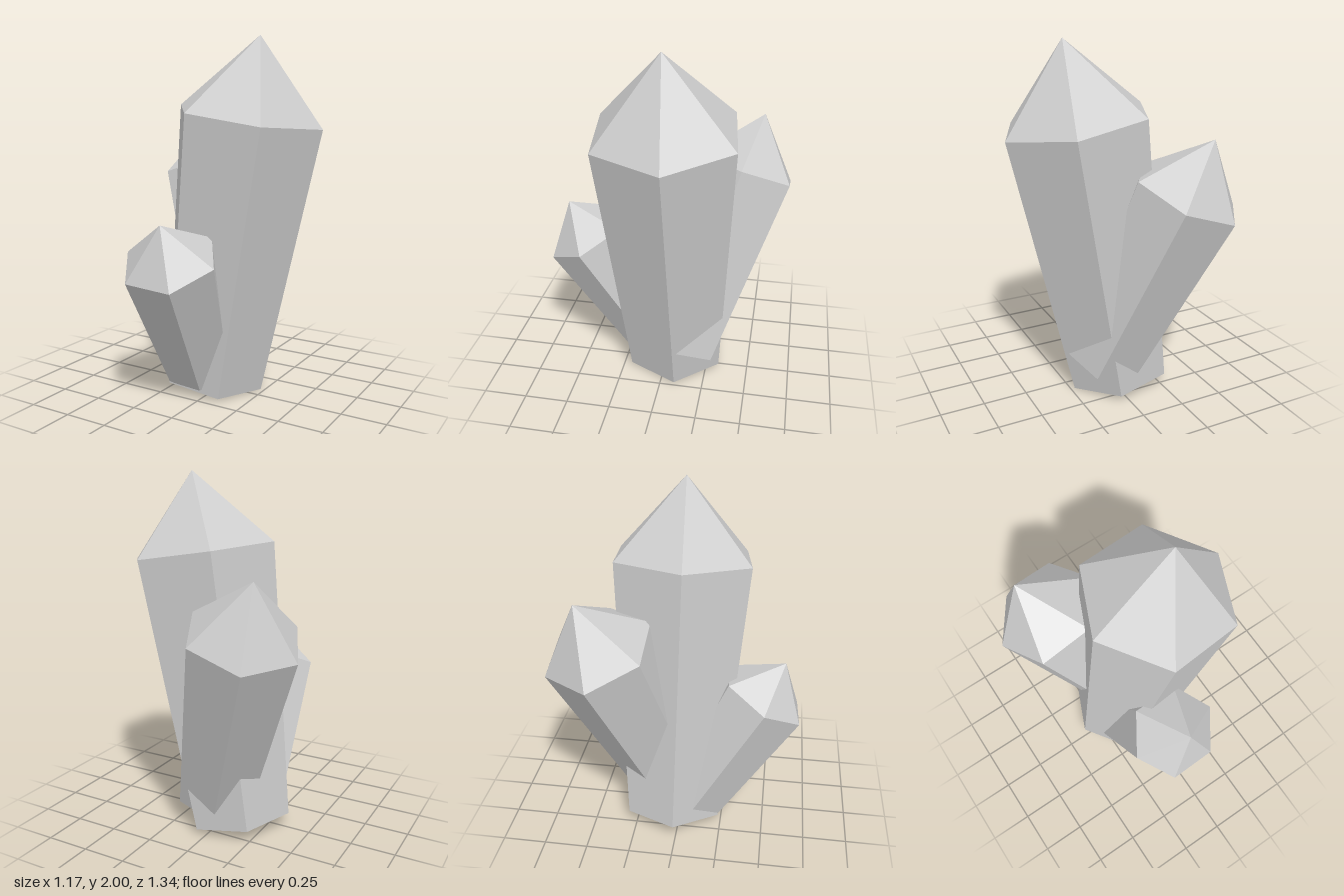
import * as THREE from 'three';

const material = new THREE.MeshStandardMaterial({
  color: 0xcccccc, flatShading: true, side: THREE.DoubleSide,
});

// Open-bottomed six-sided crystal: tapered shaft from base to shoulder, then a point.
// spoke is the direction from the axis to one corner.
function crystal(name, { base, shoulder, spoke, baseRadius, radius, tip }) {
  const start = new THREE.Vector3(...base);
  const axis = new THREE.Vector3(...shoulder).sub(start);
  const height = axis.length();
  const profile = [[baseRadius, 0], [radius, height], [0, height + tip]]
    .map(([r, y]) => new THREE.Vector2(r, y));
  const mesh = new THREE.Mesh(new THREE.LatheGeometry(profile, 6), material);

  // Local y follows the axis, local z points at the chosen corner
  const y = axis.normalize();
  const x = new THREE.Vector3().crossVectors(y, new THREE.Vector3(...spoke)).normalize();
  const z = new THREE.Vector3().crossVectors(x, y);
  mesh.quaternion.setFromRotationMatrix(new THREE.Matrix4().makeBasis(x, y, z));
  mesh.position.copy(start);
  mesh.name = name;
  return mesh;
}

export function createModel() {
  const group = new THREE.Group();
  group.name = 'crystalCluster';
  group.add(
    crystal('mainCrystal', {
      base: [-0.075, 0.053, -0.046], shoulder: [0.17, 1.572, -0.022],
      spoke: [0.41, -0.067, -0.047], baseRadius: 0.307, radius: 0.42, tip: 0.434,
    }),
    crystal('frontCrystal', {
      base: [-0.096, 0.146, 0.08], shoulder: [-0.027, 0.845, 0.465],
      spoke: [0.262, -0.02, -0.01], baseRadius: 0.196, radius: 0.262, tip: 0.229,
    }),
    crystal('backCrystal', {
      base: [0.05, 0.18, -0.1], shoulder: [-0.29, 1.215, -0.41],
      spoke: [0.295, 0.095, 0.005], baseRadius: 0.232, radius: 0.31, tip: 0.323,
    }),
  );
  return group;
}
